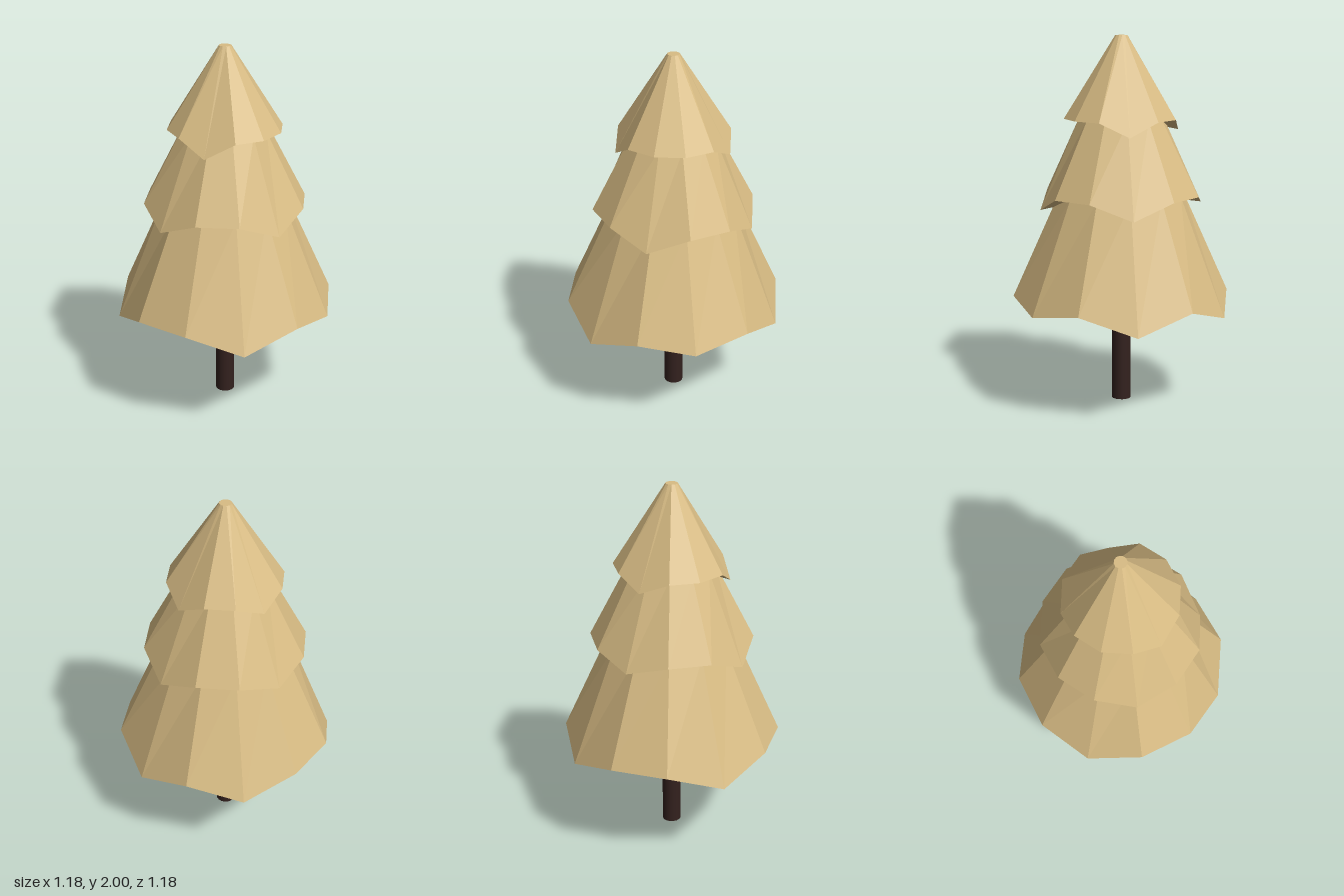
import * as THREE from 'three';

const SIDES = 12;

// Twelve-sided frustum whose rim corners droop; drops maps angle from +x (degrees, towards +z) to droop depth.
function makeTier(name, base, top, rBase, rTop, drops, material) {
  const height = top - base;
  const geo = new THREE.CylinderGeometry(rTop, rBase, height, SIDES);
  geo.translate(0, base + height / 2, 0);
  const pos = geo.attributes.position;
  for (let i = 0; i < pos.count; i++) {
    const x = pos.getX(i), y = pos.getY(i), z = pos.getZ(i);
    if (y > base + 0.01 || Math.hypot(x, z) < 0.01) continue;
    const step = Math.round(Math.atan2(z, x) / (Math.PI / 6));
    const angle = ((step + SIDES) % SIDES) * 30;
    pos.setY(i, y - (drops[angle] ?? 0));
  }
  const flat = geo.toNonIndexed();
  flat.computeVertexNormals();
  const mesh = new THREE.Mesh(flat, material);
  mesh.name = name;
  return mesh;
}

export function createModel() {
  const tree = new THREE.Group();
  tree.name = 'tree';
  const foliage = new THREE.MeshStandardMaterial({ color: 0xd8bc84, flatShading: true });
  const bark = new THREE.MeshStandardMaterial({ color: 0x33211e });

  // Trunk
  const trunk = new THREE.Mesh(new THREE.CylinderGeometry(0.052, 0.052, 0.6, 16), bark);
  trunk.position.y = 0.3;
  trunk.name = 'trunk';
  tree.add(trunk);

  // Three foliage tiers, each sitting inside the drooping rim of the next
  tree.add(
    makeTier('lowerFoliage', 0.6, 1.155, 0.592, 0.34,
      { 0: 0.1, 60: 0.05, 120: 0.1, 210: 0.1, 300: 0.09 }, foliage),
    makeTier('middleFoliage', 1.155, 1.56, 0.44, 0.23,
      { 0: 0.085, 90: 0.085, 180: 0.085, 270: 0.06 }, foliage),
    makeTier('upperFoliage', 1.56, 2, 0.31, 0.033,
      { 0: 0.075, 150: 0.085, 270: 0.065 }, foliage),
  );
  return tree;
}
